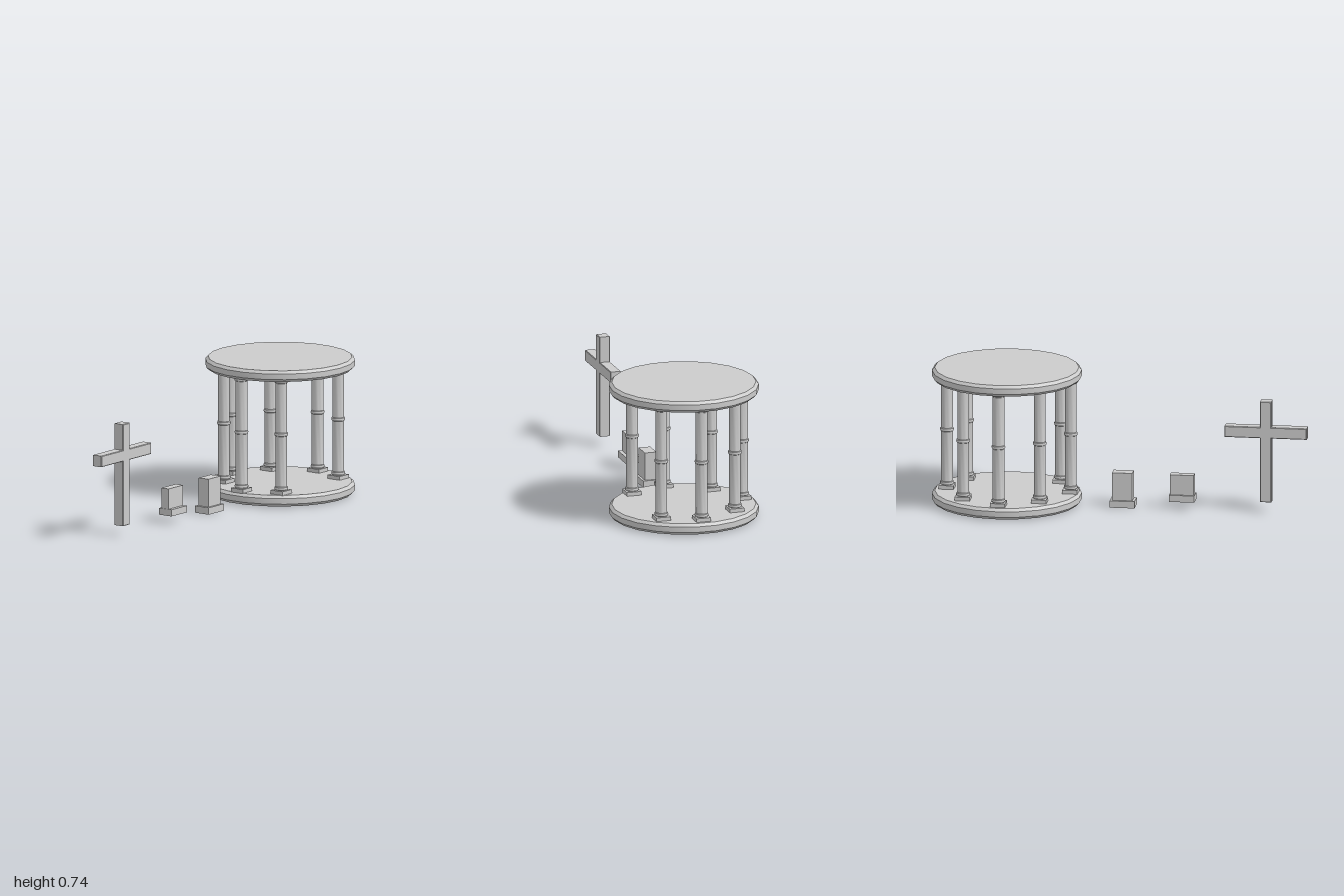
import * as THREE from 'three';
import { toCreasedNormals } from 'three/addons/utils/BufferGeometryUtils.js';

const stone = new THREE.MeshStandardMaterial({ color: 0xcccccc });

function add(parent, name, geometry, x = 0, y = 0, z = 0) {
  const mesh = new THREE.Mesh(geometry, stone);
  mesh.name = name;
  mesh.position.set(x, y, z);
  parent.add(mesh);
  return mesh;
}

// Box given by its minimum and maximum corners
function addBox(parent, name, [x0, y0, z0], [x1, y1, z1]) {
  return add(parent, name, new THREE.BoxGeometry(x1 - x0, y1 - y0, z1 - z0),
    (x0 + x1) / 2, (y0 + y1) / 2, (z0 + z1) / 2);
}

function lathe(points, sides, crease) {
  const profile = points.map(([r, y]) => new THREE.Vector2(r, y));
  return toCreasedNormals(new THREE.LatheGeometry(profile, sides), crease);
}

// Round slab with chamfered rims
function slabGeometry() {
  const r = 0.396, h = 0.06, c = 0.015;
  return lathe([[0, 0], [r - c, 0], [r, c], [r, h - c], [r - c, h], [0, h]], 22, 0.5);
}

// Shaft with rounded base, middle and top rings
function columnGeometry() {
  const shaft = 0.031, ring = 0.037;
  const bulge = (y, h) => [
    [shaft, y], [ring - 0.002, y + h * 0.15], [ring, y + h * 0.5],
    [ring - 0.002, y + h * 0.85], [shaft, y + h],
  ];
  return lathe([
    [0, 0.08], [shaft, 0.08],
    ...bulge(0.084, 0.02), ...bulge(0.375, 0.02),
    [shaft, 0.66], [ring - 0.001, 0.663], [ring, 0.669], [ring - 0.002, 0.677], [0, 0.677],
  ], 16, 0.6);
}

function createRotunda() {
  const rotunda = new THREE.Group();
  rotunda.name = 'rotunda';
  rotunda.position.x = 0.602;
  const slab = slabGeometry();
  add(rotunda, 'floorSlab', slab, 0, 0.004, 0);
  add(rotunda, 'roofSlab', slab, 0, 0.675, 0);

  // Seven columns, leaving the front open
  const column = columnGeometry();
  const plinth = new THREE.BoxGeometry(0.08, 0.022, 0.08);
  const spots = [
    [-0.26, 0.203], [0.24, 0.203], [-0.34, 0.001], [0.32, 0.006],
    [-0.205, -0.217], [0.203, -0.217], [0, -0.323],
  ];
  for (const [x, z] of spots) {
    const pillar = new THREE.Group();
    pillar.name = 'column';
    pillar.position.set(x, 0, z);
    add(pillar, 'columnShaft', column);
    add(pillar, 'columnPlinth', plinth, 0, 0.073, 0);
    rotunda.add(pillar);
  }
  return rotunda;
}

// Cross cut from one outline with slightly bevelled edges
function createCross() {
  const b = 0.003;
  const [l, r, inL, inR] = [-1 + b, -0.562 - b, -0.811 + b, -0.751 - b];
  const [bottom, top, armB, armT] = [0.055 + b, 0.603 - b, 0.404 + b, 0.464 - b];
  const outline = [
    [inL, bottom], [inR, bottom], [inR, armB], [r, armB], [r, armT], [inR, armT],
    [inR, top], [inL, top], [inL, armT], [l, armT], [l, armB], [inL, armB],
  ];
  const shape = new THREE.Shape(outline.map(([x, y]) => new THREE.Vector2(x, y)));
  const geometry = new THREE.ExtrudeGeometry(shape, {
    depth: 0.058 - 2 * b, bevelEnabled: true, bevelThickness: b, bevelSize: b, bevelSegments: 1,
  });
  geometry.translate(0, 0, -0.031 + b);
  const mesh = new THREE.Mesh(geometry, stone);
  mesh.name = 'cross';
  return mesh;
}

// Upright block on a wider foot
function createHeadstone(name, foot, block) {
  const group = new THREE.Group();
  group.name = name;
  addBox(group, 'headstoneFoot', ...foot);
  addBox(group, 'headstoneBlock', ...block);
  return group;
}

export function createModel() {
  const model = new THREE.Group();
  model.name = 'graveyardSet';
  model.add(
    createRotunda(),
    createCross(),
    createHeadstone('tallHeadstone',
      [[-0.084, 0, -0.046], [0.049, 0.037, 0.045]],
      [[-0.07, 0.037, -0.032], [0.037, 0.187, 0.032]]),
    createHeadstone('lowHeadstone',
      [[-0.402, 0.042, -0.042], [-0.267, 0.078, 0.038]],
      [[-0.398, 0.078, -0.031], [-0.271, 0.187, 0.017]]),
  );
  return model;
}
